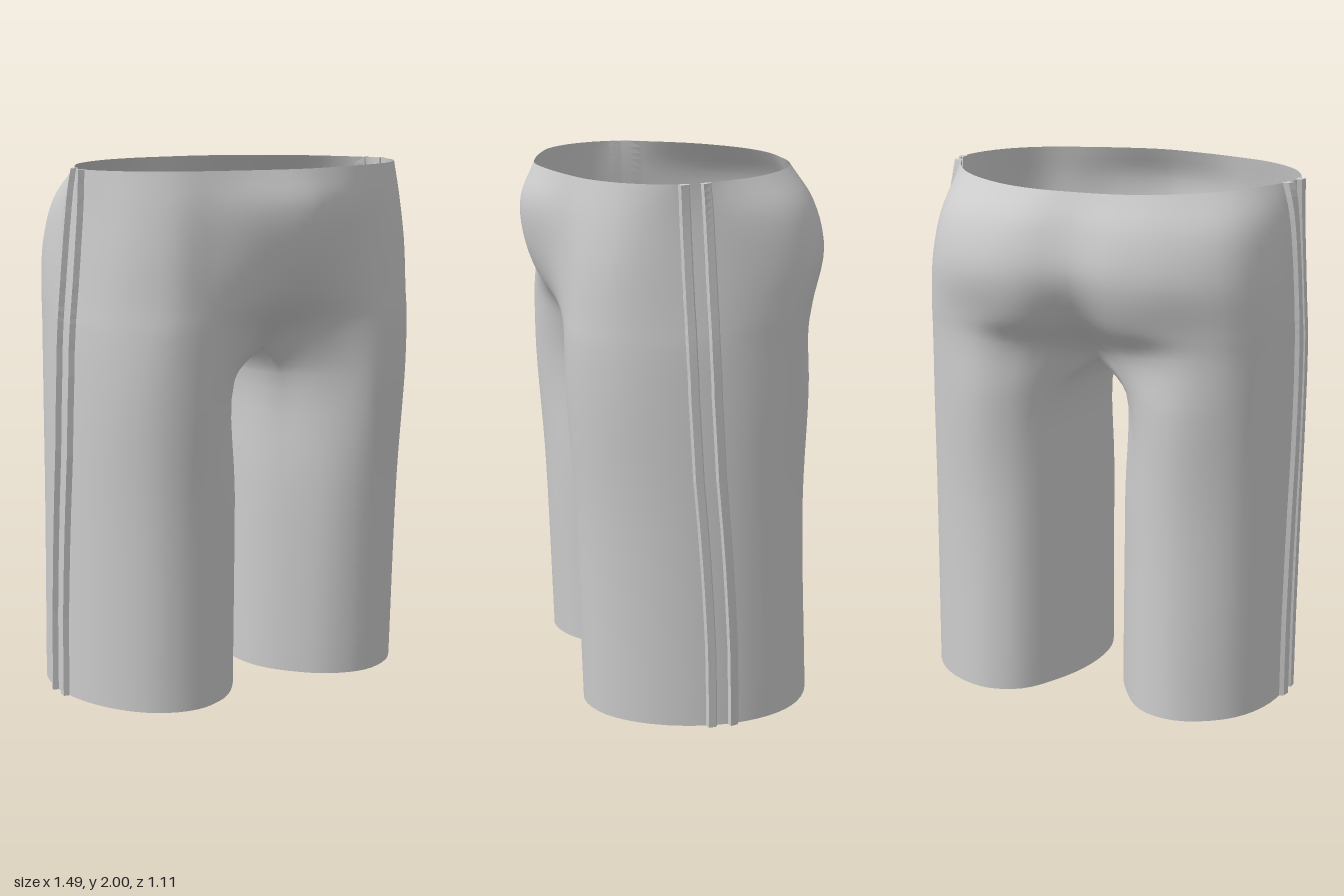
import * as THREE from 'three';
import { mergeGeometries, mergeVertices } from 'three/addons/utils/BufferGeometryUtils.js';

const S = 4;            // samples between neighbouring section points
const V = 5;            // samples between neighbouring sections
const OUT = 10 * S;     // last column of the outer arc (front centre -> side -> back centre)
const RING = 14 * S;    // columns around a whole leg

// Left leg sections as x, z pairs: 11 on the outer arc, then 3 on the inner thigh
const LEG = [
  [0, [.14, .25, .25, .355, .40, .40, .55, .345, .67, .19, .725, -.04, .685, -.25, .58, -.39, .40, -.468, .25, -.43, .14, -.29, .075, -.14, .052, .02, .075, .14]],
  [.75, [.13, .25, .25, .375, .40, .425, .55, .375, .67, .22, .722, 0, .69, -.22, .585, -.37, .40, -.443, .25, -.405, .14, -.27, .075, -.12, .056, .04, .075, .15]],
  [1.2, [.11, .22, .23, .36, .39, .452, .55, .41, .665, .27, .72, .03, .695, -.2, .59, -.37, .40, -.458, .24, -.40, .13, -.25, .07, -.10, .053, .06, .07, .15]],
];
// Section where the legs join; its inner part is the crotch seam on x = 0
const SEAM = [0, .25, .17, .38, .37, .455, .535, .425, .66, .28, .715, .05, .695, -.18, .595, -.37, .39, -.452, .19, -.385, 0, -.22, 0, -.08, 0, .05, 0, .15];
const SEAM_Y = [1.325, 1.385, 1.42, 1.42, 1.42, 1.42, 1.42, 1.42, 1.42, 1.39, 1.335, 1.295, 1.275, 1.29];
// Hip sections, outer arc only
const HIP = [
  [1.52, [0, .455, .17, .455, .36, .455, .52, .425, .65, .29, .707, .06, .695, -.17, .597, -.375, .39, -.475, .19, -.495, 0, -.425]],
  [1.7, [0, .54, .17, .505, .35, .455, .51, .415, .64, .29, .694, .07, .682, -.16, .585, -.385, .38, -.515, .19, -.553, 0, -.525]],
  [1.87, [0, .555, .17, .52, .35, .45, .50, .395, .63, .27, .683, .08, .66, -.12, .56, -.34, .37, -.47, .19, -.52, 0, -.505]],
  [2, [0, .50, .17, .475, .34, .43, .49, .37, .62, .25, .680, .08, .628, -.06, .51, -.24, .32, -.385, .16, -.44, 0, -.45]],
];

const points = (xz, y) => Array.from({ length: xz.length / 2 }, (_, i) =>
  new THREE.Vector3(xz[2 * i], Array.isArray(y) ? y[i] : y, xz[2 * i + 1]));
const mirrored = (p) => new THREE.Vector3(-p.x, p.y, p.z);
const spline = (pts, closed = false) => new THREE.CatmullRomCurve3(pts, closed);

// Open arc that meets its mirror image smoothly at x = 0
function sampleArc(pts) {
  const c = spline([mirrored(pts[1]), ...pts, mirrored(pts[9])]);
  return Array.from({ length: OUT + 1 }, (_, i) => c.getPoint((i / S + 1) / 12));
}

// Sampled sections from hem to waist
function sampleSections() {
  const rows = LEG.map(([y, xz]) => {
    const c = spline(points(xz, y), true);
    return Array.from({ length: RING }, (_, i) => c.getPoint(i / RING));
  });
  const seam = points(SEAM, SEAM_Y);
  const inner = spline([...seam.slice(10), seam[0]]);
  const join = sampleArc(seam.slice(0, 11));
  for (let i = 1; i < 4 * S; i++) join.push(inner.getPoint(i / (4 * S)));
  rows.push(join);
  HIP.forEach(([y, xz]) => rows.push(sampleArc(points(xz, y))));
  return rows;
}

// Smooth vertical columns through the sections
function makeColumns() {
  const rows = sampleSections();
  return Array.from({ length: RING }, (_, j) => {
    const isOuter = j <= OUT;
    const pts = rows.filter((r) => j < r.length).map((r) => r[j]);
    const n = pts.length - 1;
    if (!isOuter) pts.push(mirrored(pts[n - 1]));   // rounds the crotch arch
    const c = spline(pts);
    return Array.from({ length: n * V + 1 }, (_, i) => {
      const p = c.getPoint(i / V / (pts.length - 1));
      const onSeam = (j === 0 || j === OUT) && i >= 3 * V;
      p.x = onSeam ? 0 : Math.max(0, p.x);
      return p;
    });
  });
}

function geometryFrom(pos, index) {
  const g = new THREE.BufferGeometry();
  g.setAttribute('position', new THREE.Float32BufferAttribute(pos, 3));
  g.setIndex(index);
  return g;
}

function mirrorGeometry(g) {
  const m = g.clone().scale(-1, 1, 1);
  const a = m.index.array;
  for (let i = 0; i < a.length; i += 3) [a[i], a[i + 1]] = [a[i + 1], a[i]];
  return m;
}

// Cloth of the left half
function halfCloth(cols) {
  const pos = [], index = [], start = [];
  cols.forEach((c) => {
    start.push(pos.length / 3);
    c.forEach((p) => pos.push(p.x, p.y, p.z));
  });
  cols.forEach((c, j) => {
    const k = (j + 1) % RING;
    const n = Math.min(c.length, cols[k].length, j >= OUT ? 3 * V + 1 : Infinity);
    for (let i = 0; i < n - 1; i++) {
      const a = start[j] + i, b = start[k] + i;
      index.push(a, b, b + 1, a, b + 1, a + 1);
    }
  });
  return geometryFrom(pos, index);
}

// Raised side strip that follows the cloth; offset moves it backwards
function stripGeometry(cols, offset) {
  const path = spline([[2, .1], [1.6, .085], [1, .055], [.7, .03], [.3, .005], [0, 0]]
    .map(([y, z]) => new THREE.Vector3(0, y, z)));
  const guide = path.getPoints(100);
  const section = [[0, -.008], [-.008, .022], [-.036, .016], [-.046, -.006]];
  const pos = [], index = [];
  const rows = 7 * V;
  const clothX = (i, z) => {
    for (let j = 2 * S; j < 8 * S; j++) {
      const a = cols[j][i], b = cols[j + 1][i];
      if (a.z >= z && b.z <= z) return a.x + (b.x - a.x) * (a.z - z) / (a.z - b.z || 1);
    }
    return .7;
  };
  for (let i = 0; i <= rows; i++) {
    const y = cols[5 * S][i].y;
    const near = guide.reduce((m, p) => (Math.abs(p.y - y) < Math.abs(m.y - y) ? p : m));
    section.forEach(([dz, dx]) => {
      const z = near.z - offset + dz;
      pos.push(clothX(i, z) + dx, y, z);
    });
    if (i === rows) break;
    for (let k = 0; k < 4; k++) {
      const a = 4 * i + k, b = 4 * i + (k + 1) % 4;
      index.push(a, b, b + 4, a, b + 4, a + 4);
    }
  }
  const e = 4 * rows;
  index.push(0, 2, 1, 0, 3, 2, e, e + 1, e + 2, e, e + 2, e + 3);
  return geometryFrom(pos, index);
}

export function createModel() {
  const group = new THREE.Group();
  group.name = 'shorts';
  const cols = makeColumns();

  // Cloth: both halves welded along the centre seam
  const half = halfCloth(cols);
  const cloth = mergeVertices(mergeGeometries([half, mirrorGeometry(half)]), 1e-4);
  cloth.computeVertexNormals();
  const clothMesh = new THREE.Mesh(cloth,
    new THREE.MeshStandardMaterial({ color: 0xcccccc, side: THREE.DoubleSide }));
  clothMesh.name = 'cloth';
  group.add(clothMesh);

  // Two strips down each side
  const stripMaterial = new THREE.MeshStandardMaterial({
    color: 0xcccccc, flatShading: true, side: THREE.DoubleSide });
  [['front', 0], ['rear', .083]].forEach(([place, offset]) => {
    const left = stripGeometry(cols, offset);
    [['left', left], ['right', mirrorGeometry(left)]].forEach(([side, g]) => {
      g.computeVertexNormals();
      const strip = new THREE.Mesh(g, stripMaterial);
      strip.name = `${side} ${place} side strip`;
      group.add(strip);
    });
  });
  return group;
}
